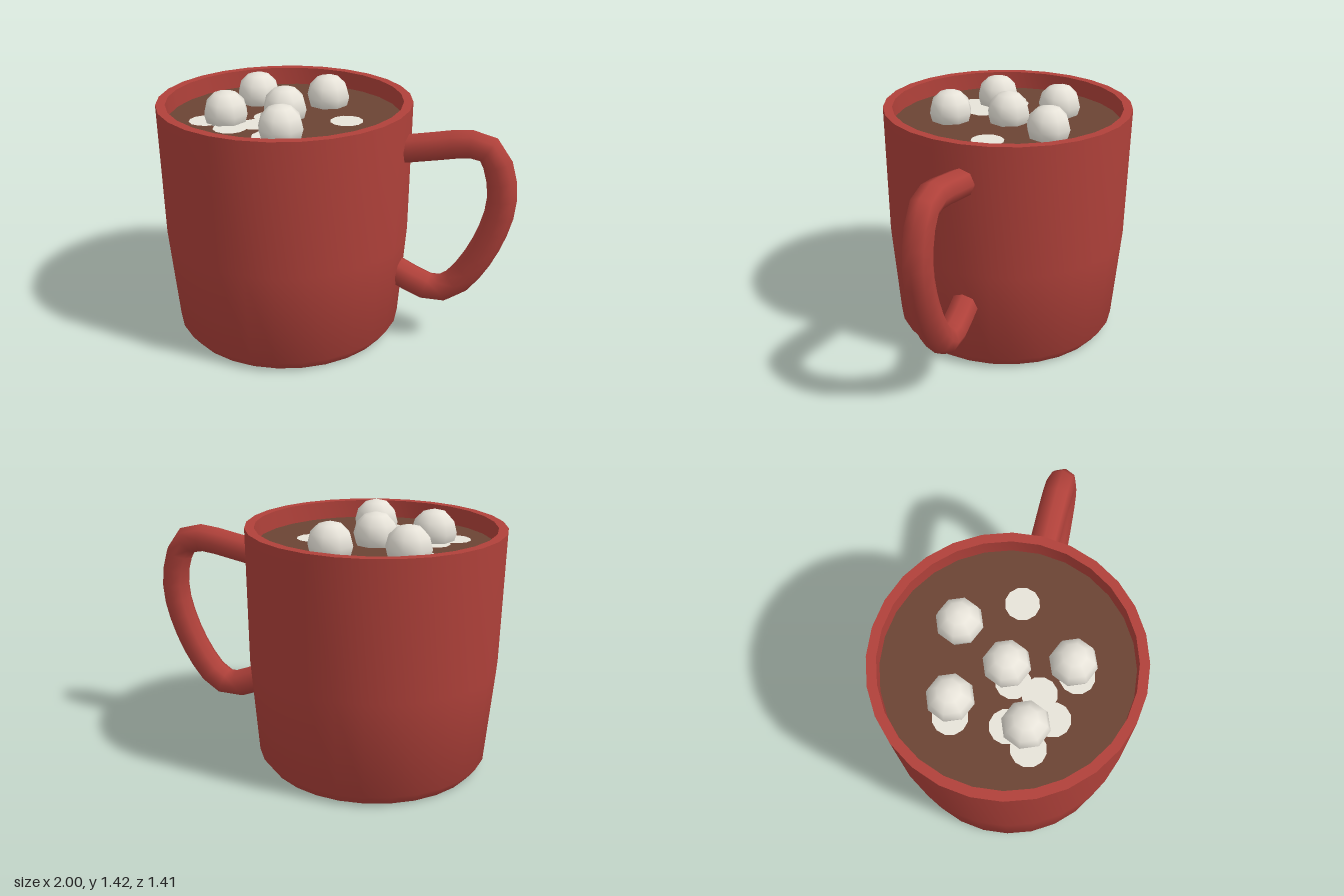
import * as THREE from 'three';
import { toCreasedNormals } from 'three/addons/utils/BufferGeometryUtils.js';

const CX = -0.297; // axis of the mug body
const LIQUID_Y = 1.25;

const red = new THREE.MeshStandardMaterial({ name: 'red ceramic', color: 0xb0413a });
const brown = new THREE.MeshStandardMaterial({ name: 'cocoa brown', color: 0x6b4434 });
const cream = new THREE.MeshStandardMaterial({ name: 'cream white', color: 0xe8e4da });

export function createModel() {
  const group = new THREE.Group();
  group.name = 'mugOfCocoa';

  const add = (name, geometry, material, x = 0, y = 0, z = 0) => {
    const mesh = new THREE.Mesh(geometry, material);
    mesh.name = name;
    mesh.position.set(x, y, z);
    group.add(mesh);
    return mesh;
  };

  // Body: base, chamfered foot, gently flaring wall, flat rim and inner wall
  const profile = [
    [0, 0], [0.6, 0], [0.645, 0.06], [0.69, 0.6], [0.703, 1.35],
    [0.652, 1.35], [0.648, 1.2],
  ].map(([r, y]) => new THREE.Vector2(r, y));
  add('mugBody', toCreasedNormals(new THREE.LatheGeometry(profile, 28), 0.62), red, CX);

  // Handle: round tube along a D-shaped path, ends sunk into the wall
  const path = new THREE.CatmullRomCurve3([
    [0.36, 1.128], [0.55, 1.165], [0.75, 1.195], [0.845, 1.165], [0.9, 1.05],
    [0.92, 0.9], [0.895, 0.75], [0.805, 0.53], [0.68, 0.36], [0.58, 0.315],
    [0.47, 0.345], [0.35, 0.4],
  ].map(([x, y]) => new THREE.Vector3(x, y, 0)));
  add('handle', new THREE.TubeGeometry(path, 18, 0.08, 8), red);

  // Cocoa surface
  const disc = (radius, sides) => new THREE.CircleGeometry(radius, sides).rotateX(-Math.PI / 2);
  add('cocoa', disc(0.65, 28), brown, CX, LIQUID_Y);

  // Floating marshmallows
  const ball = new THREE.SphereGeometry(0.125, 8, 6);
  [[-0.54, -0.23], [-0.14, -0.295], [-0.3, -0.005], [-0.58, 0.165], [-0.21, 0.315]]
    .forEach(([x, z], i) => add(`marshmallow${i + 1}`, ball, cream, x, 1.3, z));

  // Flat foam patches; tiny height steps keep overlapping ones apart
  const patch = disc(0.092, 12);
  [[0.052, -0.015], [-0.625, -0.21], [-0.6, 0.075], [-0.685, 0.205], [-0.51, 0.285],
    [-0.4, 0.19], [-0.37, 0.045], [-0.265, 0.35]]
    .forEach(([x, z], i) => add(`foam${i + 1}`, patch, cream, x, LIQUID_Y + 0.004 + i * 0.0005, z));

  return group;
}
